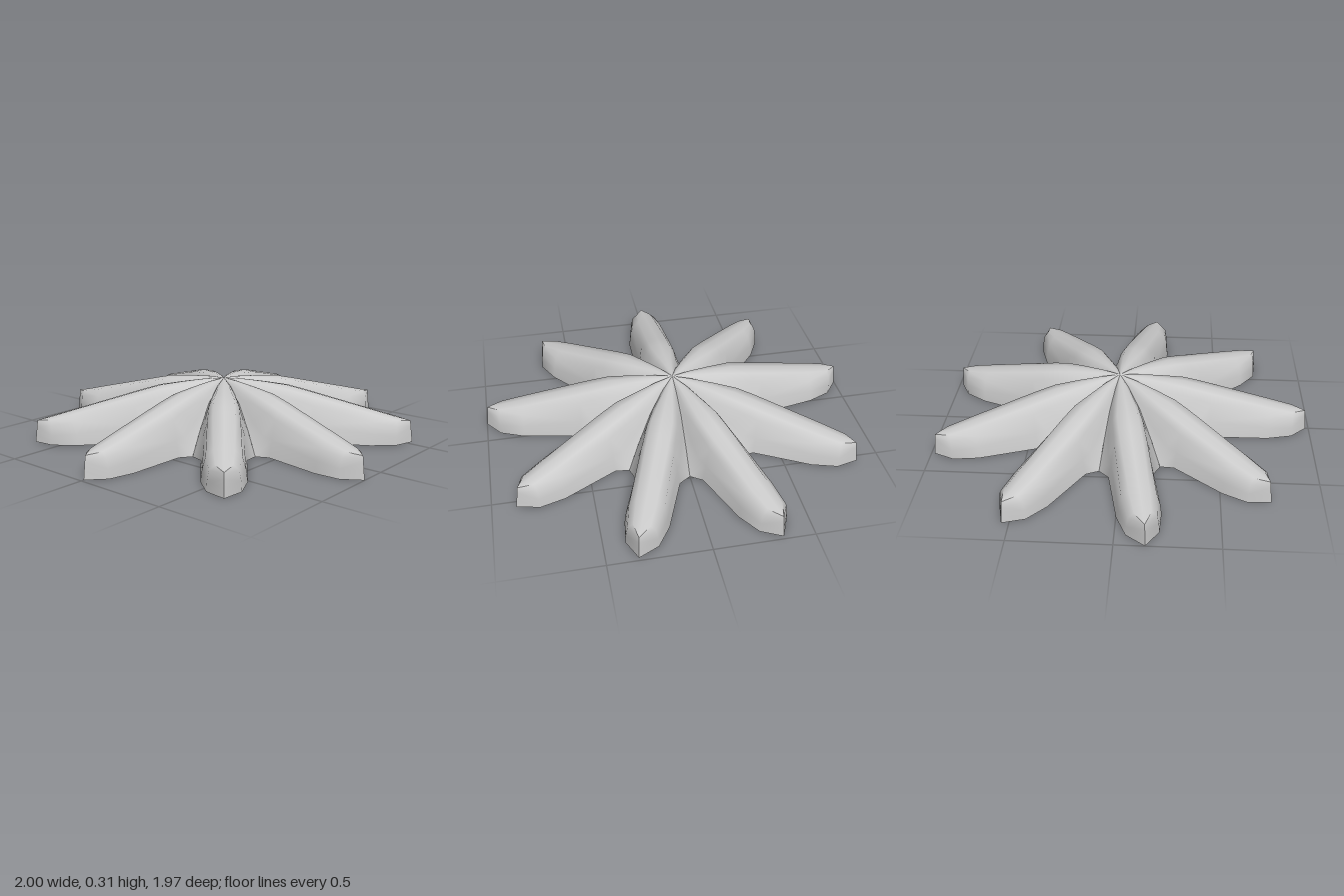
import * as THREE from 'three';
import { mergeVertices, toCreasedNormals } from 'three/addons/utils/BufferGeometryUtils.js';

const ARMS = 9;
const CENTRE_Z = -0.03;
const APEX = 0.308;

// Half cross-sections of one arm, from the hub outwards.
// Each row: distance from hub, then [sideways, height] from the ridge down to the valley or foot.
const sections = [
  [0.10, [0, 0.306], [0.015, 0.304], [0.024, 0.298], [0.031, 0.290], [0.0364, 0.282]],
  [0.22, [0, 0.297], [0.035, 0.290], [0.055, 0.267], [0.068, 0.243], [0.0801, 0.218]],
  [0.34, [0, 0.283], [0.053, 0.273], [0.077, 0.237], [0.100, 0.160], [0.1237, 0.105]],
  [0.432, [0, 0.261], [0.055, 0.251], [0.080, 0.212], [0.108, 0.100], [0.1572, 0]],
  [0.49, [0, 0.246], [0.055, 0.236], [0.083, 0.195], [0.100, 0.090], [0.115, 0]],
  [0.80, [0, 0.167], [0.050, 0.157], [0.085, 0.122], [0.102, 0.060], [0.110, 0]],
  [0.93, [0, 0.133], [0.042, 0.126], [0.068, 0.102], [0.077, 0.050], [0.080, 0]],
  [1.00, [0, 0.117], [0, 0.110], [0, 0.085], [0, 0.045], [0, 0]],
];

// The hollow shell: nine arms joined along their valleys, open underneath
function shellGeometry() {
  const positions = [];
  const addTriangle = (a, b, c) => {
    const area = b.clone().sub(a).cross(c.clone().sub(a)).length();
    if (area > 1e-7) positions.push(...a.toArray(), ...b.toArray(), ...c.toArray());
  };
  const apex = new THREE.Vector3(0, APEX, CENTRE_Z);

  for (let k = 0; k < ARMS; k++) {
    const angle = (k / ARMS) * Math.PI * 2;
    const sin = Math.sin(angle), cos = Math.cos(angle);

    // Mirror every half section into a full one and turn it to the arm's direction
    const rows = sections.map(([r, ...half], i) => {
      const mirrored = half.slice(1).reverse().map(([w, y]) => [-w, y]);
      return [...mirrored, ...half].map(([w, y]) => {
        // the tip leans outwards towards the ground
        const reach = i === sections.length - 1 ? r + 0.015 * (1 - y / 0.117) : r;
        return new THREE.Vector3(reach * sin + w * cos, y, CENTRE_Z + reach * cos - w * sin);
      });
    });

    for (let j = 0; j < rows[0].length - 1; j++) {
      addTriangle(apex, rows[0][j], rows[0][j + 1]);
      for (let i = 0; i < rows.length - 1; i++) {
        const a = rows[i][j], b = rows[i + 1][j], c = rows[i + 1][j + 1], d = rows[i][j + 1];
        // mirrored diagonals keep both halves of the arm alike
        if (j < 4) {
          addTriangle(a, b, c);
          addTriangle(a, c, d);
        } else {
          addTriangle(a, b, d);
          addTriangle(b, c, d);
        }
      }
    }
  }

  const geometry = new THREE.BufferGeometry();
  geometry.setAttribute('position', new THREE.Float32BufferAttribute(positions, 3));
  return toCreasedNormals(mergeVertices(geometry, 1e-4), 0.9);
}

export function createModel() {
  const group = new THREE.Group();
  group.name = 'nineArmedStar';
  const material = new THREE.MeshStandardMaterial({ color: 0xcccccc, side: THREE.DoubleSide });
  const shell = new THREE.Mesh(shellGeometry(), material);
  shell.name = 'starShell';
  group.add(shell);
  return group;
}
